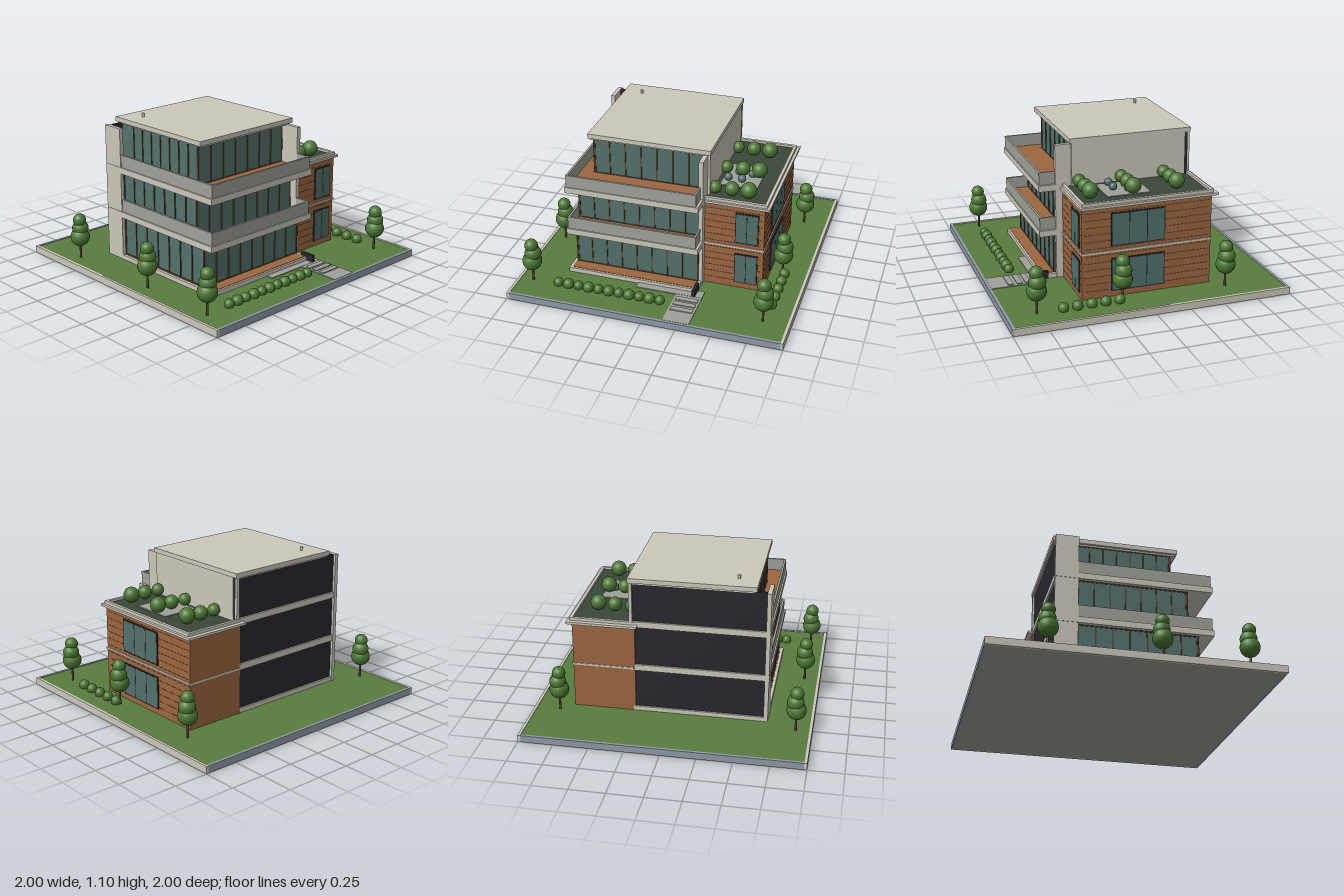
import * as THREE from 'three';

const mat = (name, color) => {
  const m = new THREE.MeshStandardMaterial({ color });
  m.name = name;
  return m;
};

export function createModel() {
  const cream = mat('cream render', 0xcbc7bb);
  const grey = mat('grey concrete', 0xa0a199);
  const kerb = mat('blue grey kerb', 0x8f9aa6);
  const grass = mat('lawn green', 0x587d40);
  const roofGreen = mat('roof garden green', 0x3b473b);
  const brick = mat('brick brown', 0x9c6640);
  const dark = mat('charcoal', 0x29272f);
  const glass = mat('teal glass', 0x53716c);
  const leaf = mat('leaf green', 0x4b7733);
  const bark = mat('dark wood', 0x59402e);

  const house = new THREE.Group();
  house.name = 'house';

  const group = (name, parent = house) => {
    const g = new THREE.Group();
    g.name = name;
    parent.add(g);
    return g;
  };
  // Box given by its two limits on each axis
  const box = (parent, name, m, [x0, x1], [y0, y1], [z0, z1]) => {
    const b = new THREE.Mesh(new THREE.BoxGeometry(x1 - x0, y1 - y0, z1 - z0), m);
    b.position.set((x0 + x1) / 2, (y0 + y1) / 2, (z0 + z1) / 2);
    b.name = name;
    parent.add(b);
    return b;
  };
  const ball = (parent, name, m, r, x, y, z) => {
    const s = new THREE.Mesh(new THREE.SphereGeometry(r, 20, 14), m);
    s.position.set(x, y, z);
    s.name = name;
    parent.add(s);
  };
  const post = (parent, name, m, r, x, y0, y1, z) => {
    const c = new THREE.Mesh(new THREE.CylinderGeometry(r, r, y1 - y0, 12), m);
    c.position.set(x, (y0 + y1) / 2, z);
    c.name = name;
    parent.add(c);
  };

  // Plot with lawn and kerbs
  const plot = group('plot');
  box(plot, 'base', grey, [-0.98, 0.98], [0, 0.03], [-0.98, 0.98]);
  box(plot, 'lawn', grass, [-0.98, 0.98], [0.03, 0.048], [-0.985, 0.985]);
  for (const s of [-1, 1]) {
    box(plot, 'sideKerb', cream, [s * 0.99 - 0.01, s * 0.99 + 0.01], [0, 0.052], [-1, 1]);
    box(plot, 'endKerb', kerb, [-0.98, 0.98], [0, 0.051], [s * 0.99 - 0.01, s * 0.99 + 0.01]);
  }

  // Path, steps and entrance block
  const path = group('path');
  box(path, 'walkway', grey, [-0.15, 0.34], [0.045, 0.055], [0.58, 0.66]);
  box(path, 'gardenPath', grey, [0.15, 0.34], [0.045, 0.053], [0.66, 0.98]);
  for (const z of [0.71, 0.77, 0.835])
    box(path, 'step', grey, [0.165, 0.325], [0.05, 0.06], [z - 0.02, z + 0.02]);
  box(path, 'entranceBlock', dark, [0.265, 0.288], [0.05, 0.105], [0.55, 0.66]);

  // Glazed storeys: pane box with mullions on the front and left sides
  const storey = (name, x0, zf, y0, y1, panes) => {
    const g = group(name);
    const x1 = 0.262;
    const w = 0.004;
    box(g, 'glazing', glass, [x0, x1], [y0, y1], [-0.47, zf]);
    for (let i = 0; i <= panes; i++) {
      const x = x0 + ((x1 - x0) * i) / panes;
      box(g, 'frontMullion', bark, [x - w, x + w], [y0, y1], [zf - 0.01, zf + 0.006]);
    }
    const sides = 7;
    for (let i = 0; i <= sides; i++) {
      const z = -0.34 + ((zf + 0.34) * i) / sides;
      box(g, 'sideMullion', bark, [x0 - 0.006, x0 + 0.01], [y0, y1], [z - w, z + w]);
    }
    for (const y of [y0, y1 - 0.008])
      box(g, 'rail', bark, [x0 - 0.004, x1], [y, y + 0.008], [-0.34, zf + 0.004]);
  };
  storey('groundFloor', -0.65, 0.5, 0.08, 0.37, 8);
  storey('middleFloor', -0.65, 0.43, 0.415, 0.706, 8);
  storey('topFloor', -0.555, 0.34, 0.75, 1.035, 7);

  // Ground deck and two balconies
  const deck = group('deck');
  box(deck, 'deckSlab', cream, [-0.68, 0.285], [0.045, 0.08], [-0.505, 0.605]);
  box(deck, 'deckBoards', brick, [-0.66, 0.262], [0.078, 0.083], [-0.46, 0.59]);
  for (const y of [0.37, 0.705]) {
    const b = group('balcony');
    const yr = [y + 0.045, y + 0.137];
    box(b, 'slab', cream, [-0.683, 0.292], [y, y + 0.045], [-0.505, 0.61]);
    box(b, 'boards', brick, [-0.66, 0.262], [y + 0.043, y + 0.048], [-0.46, 0.59]);
    box(b, 'frontParapet', grey, [-0.673, 0.275], yr, [0.588, 0.603]);
    box(b, 'leftParapet', grey, [-0.673, -0.658], yr, [-0.345, 0.588]);
    box(b, 'rightParapet', grey, [0.262, 0.275], yr, [0.49, 0.588]);
  }

  // Back wall, fins and upper side wall
  const walls = group('walls');
  box(walls, 'backWall', dark, [-0.652, 0.306], [0.06, 1.034], [-0.492, -0.47]);
  box(walls, 'leftFin', cream, [-0.68, -0.65], [0.05, 1.035], [-0.51, -0.345]);
  box(walls, 'rightFin', cream, [0.26, 0.292], [0.05, 1.035], [0.34, 0.49]);
  box(walls, 'upperSideWall', cream, [0.262, 0.308], [0.73, 1.04], [-0.47, 0.375]);
  box(walls, 'upperBackEdge', cream, [0.285, 0.308], [0.73, 1.04], [-0.508, -0.492]);

  // Main roof with raised edge and vent
  const roof = group('mainRoof');
  box(roof, 'roofSlab', cream, [-0.565, 0.3], [1.03, 1.045], [-0.5, 0.38]);
  box(roof, 'roofCap', cream, [-0.582, 0.315], [1.042, 1.076], [-0.512, 0.39]);
  post(roof, 'ventPipe', cream, 0.009, -0.44, 1.07, 1.1, -0.37);
  post(roof, 'ventCap', cream, 0.013, -0.44, 1.092, 1.102, -0.37);

  // Brick wing with mortar lines and string course
  const wing = group('brickWing');
  box(wing, 'brickBody', brick, [0.27, 0.72], [0.045, 0.715], [-0.505, 0.44]);
  for (let i = 1; i < 13; i++) {
    const y = 0.05 + i * 0.0515;
    box(wing, 'frontMortarLine', bark, [0.295, 0.7], [y, y + 0.003], [0.44, 0.4415]);
    box(wing, 'sideMortarLine', bark, [0.72, 0.7215], [y, y + 0.003], [-0.49, 0.42]);
  }
  box(wing, 'stringCourse', cream, [0.28, 0.727], [0.376, 0.39], [-0.508, 0.448]);

  // Wing windows: dark frame with panes in front
  for (const y of [0.09, 0.42]) {
    const f = group('frontWindow', wing);
    box(f, 'frame', dark, [0.513, 0.68], [y, y + 0.24], [0.43, 0.447]);
    for (let i = 0; i < 2; i++) {
      const x = 0.52 + i * 0.079;
      box(f, 'pane', glass, [x, x + 0.074], [y + 0.008, y + 0.232], [0.44, 0.449]);
    }
    const s = group('sideWindow', wing);
    box(s, 'frame', dark, [0.71, 0.727], [y, y + 0.24], [-0.16, 0.232]);
    for (let i = 0; i < 3; i++) {
      const z = -0.153 + i * 0.128;
      box(s, 'pane', glass, [0.72, 0.729], [y + 0.008, y + 0.232], [z, z + 0.122]);
    }
  }

  // Wing roof: eaves and parapet rings around a planted terrace
  const ring = (name, x0, x1, z0, z1, t, y0, h) => {
    const rect = (p, a, b, c, d) => p.moveTo(a, c).lineTo(b, c).lineTo(b, d).lineTo(a, d).closePath();
    const shape = rect(new THREE.Shape(), x0, x1, -z1, -z0);
    shape.holes.push(rect(new THREE.Path(), x0 + t, x1 - t, -z1 + t, -z0 - t));
    const geo = new THREE.ExtrudeGeometry(shape, { depth: h, bevelEnabled: false });
    geo.rotateX(-Math.PI / 2).translate(0, y0, 0);
    const m = new THREE.Mesh(geo, cream);
    m.name = name;
    terrace.add(m);
  };
  const terrace = group('roofTerrace', wing);
  ring('eaves', 0.25, 0.755, -0.542, 0.455, 0.05, 0.708, 0.017);
  ring('parapet', 0.27, 0.735, -0.51, 0.44, 0.022, 0.725, 0.022);
  box(terrace, 'planting', roofGreen, [0.29, 0.714], [0.71, 0.73], [-0.49, 0.42]);
  box(terrace, 'patio', grey, [0.335, 0.605], [0.725, 0.735], [-0.1, 0.215]);
  for (const z of [-0.3, 0.02, 0.33])
    [0.335, 0.455, 0.575].forEach((x, i) =>
      ball(terrace, 'roofBush', leaf, 0.045 + i * 0.006, x, 0.775 + i * 0.005, z));
  for (const [x, z] of [[0.375, 0.13], [0.475, 0.13], [0.43, 0.03], [0.53, 0.04]])
    ball(terrace, 'seat', glass, 0.029, x, 0.757, z);

  // Trees
  for (const x of [-0.885, 0.81]) for (const z of [-0.585, 0.18, 0.785]) {
    const t = group('tree');
    post(t, 'trunk', bark, 0.008, x, 0.045, 0.18, z);
    ball(t, 'lowerCrown', leaf, 0.07, x, 0.212, z);
    ball(t, 'middleCrown', leaf, 0.06, x + 0.008, 0.275, z - 0.004);
    ball(t, 'upperCrown', leaf, 0.048, x, 0.34, z);
  }

  // Hedges
  const hedge = group('hedges');
  for (let i = 0; i < 11; i++)
    ball(hedge, 'frontHedge', leaf, i % 2 ? 0.041 : 0.036, -0.69 + i * 0.076, 0.067, 0.785);
  for (let i = 0; i < 5; i++) ball(hedge, 'sideHedge', leaf, 0.038, 0.828, 0.07, 0.205 + i * 0.1);

  return house;
}
